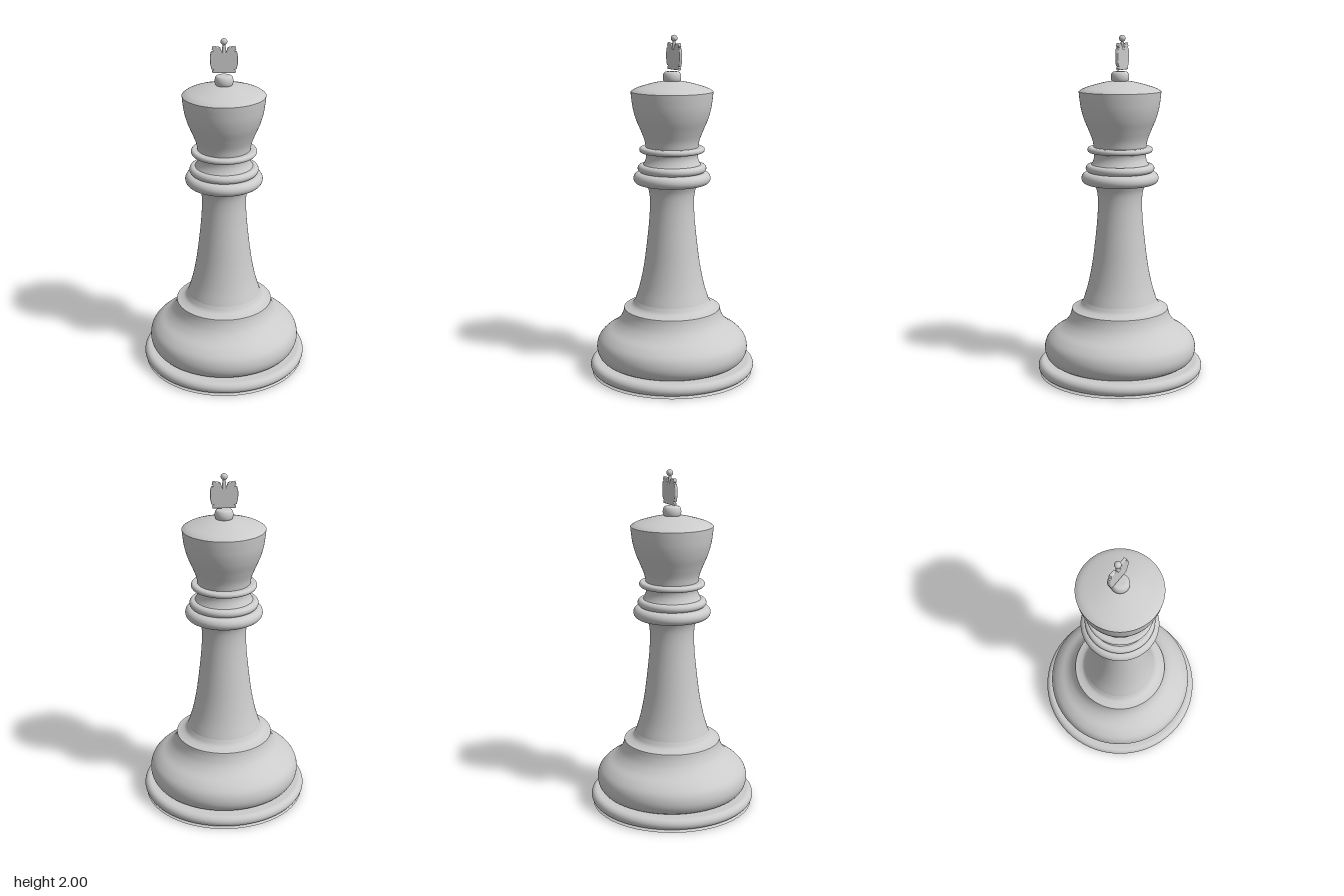
import * as THREE from 'three';

const material = new THREE.MeshStandardMaterial({ color: 0xcccccc });
const SEGMENTS = 96;

function addMesh(parent, name, geometry) {
  const mesh = new THREE.Mesh(geometry, material);
  mesh.name = name;
  parent.add(mesh);
  return mesh;
}

// Turned part from [radius, height] points, listed bottom to top and smoothed
function turned(parent, name, profile, samples = 40) {
  const curve = new THREE.CatmullRomCurve3(
    profile.map(([r, y]) => new THREE.Vector3(r, y, 0)), false, 'centripetal');
  const points = curve.getPoints(samples).map(p => new THREE.Vector2(Math.max(p.x, 0), p.y));
  return addMesh(parent, name, new THREE.LatheGeometry(points, SEGMENTS));
}

// Rounded ring: half-ellipse profile bulging from an inner to an outer radius
function ring(parent, name, inner, outer, bottom, top) {
  const points = [];
  const middle = (bottom + top) / 2;
  const half = (top - bottom) / 2;
  const bulge = Math.min(half, outer - inner);
  points.push(new THREE.Vector2(inner, bottom));
  for (let i = 0; i <= 16; i++) {
    const a = -Math.PI / 2 + Math.PI * i / 16;
    points.push(new THREE.Vector2(outer - bulge + bulge * Math.cos(a), middle + half * Math.sin(a)));
  }
  points.push(new THREE.Vector2(inner, top));
  return addMesh(parent, name, new THREE.LatheGeometry(points, SEGMENTS));
}

// Flared cross plate: one half outline, mirrored to the other side
function crossPlate() {
  const half = [
    [0.012, 1.803], [0.064, 1.803], [0.066, 1.815], [0.058, 1.823], [0.07, 1.826],
    [0.078, 1.86], [0.078, 1.9], [0.072, 1.925], [0.06, 1.929], [0.068, 1.937],
    [0.062, 1.956], [0.022, 1.95], [0.012, 1.925]
  ];
  const outline = [...half, ...half.map(([x, y]) => [-x, y]).reverse()];
  const shape = new THREE.Shape(outline.map(([x, y]) => new THREE.Vector2(x, y)));
  const geometry = new THREE.ExtrudeGeometry(shape, {
    depth: 0.006, bevelEnabled: true, bevelThickness: 0.006,
    bevelSize: 0.004, bevelOffset: -0.004, bevelSegments: 3
  });
  return geometry.translate(0, 0, -0.003);
}

export function createModel() {
  const model = new THREE.Group();
  model.name = 'chessPiece';

  // Foot: thin rim, rounded disc and closed underside
  const foot = new THREE.Group();
  foot.name = 'foot';
  model.add(foot);
  addMesh(foot, 'underside', new THREE.CircleGeometry(0.48, SEGMENTS).rotateX(Math.PI / 2));
  addMesh(foot, 'footRim', new THREE.CylinderGeometry(0.465, 0.48, 0.012, SEGMENTS, 1, true))
    .position.y = 0.006;
  ring(foot, 'footDisc', 0.38, 0.49, 0.01, 0.078);

  // Bulging base and its ledge
  turned(model, 'base', [
    [0.4, 0.075], [0.43, 0.095], [0.448, 0.13], [0.45, 0.17], [0.437, 0.21],
    [0.4, 0.25], [0.345, 0.287], [0.31, 0.325], [0.292, 0.365], [0.286, 0.395]
  ]);
  turned(model, 'baseLedge', [[0.286, 0.395], [0.26, 0.403], [0.235, 0.417], [0.218, 0.445]], 12);

  // Tapering column
  turned(model, 'column', [
    [0.218, 0.445], [0.192, 0.53], [0.167, 0.65], [0.147, 0.8], [0.133, 0.94],
    [0.129, 1.04], [0.135, 1.1], [0.152, 1.145]
  ]);

  // Collar rings and neck
  ring(model, 'lowerCollar', 0.12, 0.225, 1.143, 1.212);
  ring(model, 'middleCollar', 0.12, 0.2, 1.212, 1.258);
  turned(model, 'neck', [[0.172, 1.25], [0.158, 1.275], [0.151, 1.3], [0.154, 1.325], [0.17, 1.34]], 16);
  ring(model, 'upperCollar', 0.13, 0.19, 1.328, 1.36);

  // Flared head with a domed top
  turned(model, 'head', [
    [0.152, 1.355], [0.16, 1.4], [0.183, 1.46], [0.208, 1.52], [0.225, 1.58],
    [0.234, 1.64], [0.238, 1.68]
  ]);
  turned(model, 'headTop', [
    [0.238, 1.68], [0.215, 1.695], [0.16, 1.714], [0.1, 1.73], [0.05, 1.739], [0, 1.742]
  ], 24);

  // Finial: knob, flat cross and bead
  const finial = new THREE.Group();
  finial.name = 'finial';
  model.add(finial);
  turned(finial, 'knob', [
    [0.043, 1.732], [0.051, 1.748], [0.052, 1.77], [0.045, 1.788], [0.034, 1.793], [0, 1.793]
  ], 24);
  const cross = new THREE.Group();
  cross.name = 'cross';
  cross.position.z = -0.014;
  finial.add(cross);
  addMesh(cross, 'crossPlate', crossPlate());
  addMesh(cross, 'beadStem', new THREE.CylinderGeometry(0.007, 0.013, 0.06, 16)).position.y = 1.945;
  addMesh(cross, 'bead', new THREE.SphereGeometry(0.019, 24, 16)).position.y = 1.981;

  return model;
}
